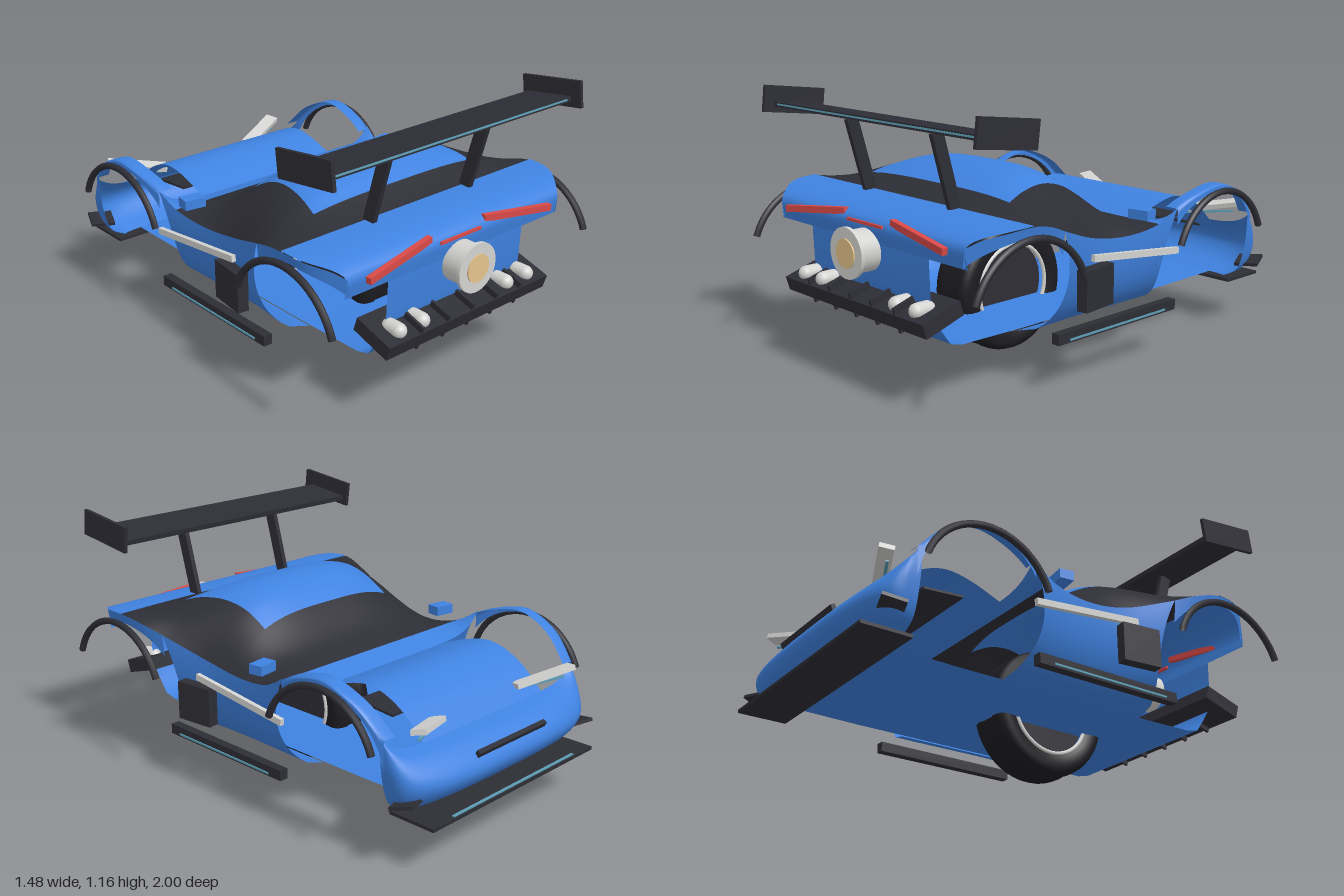
import * as THREE from 'three';

const mat = (name, color, side = THREE.FrontSide) => {
  const m = new THREE.MeshStandardMaterial({ color, side });
  m.name = name;
  return m;
};

// Smooth interpolation through [position, value] pairs
function curve(pts) {
  const slope = (i) => {
    const a = pts[Math.max(i - 1, 0)], b = pts[Math.min(i + 1, pts.length - 1)];
    return (b[1] - a[1]) / (b[0] - a[0]);
  };
  return (p) => {
    let i = 0;
    while (i < pts.length - 2 && p > pts[i + 1][0]) i++;
    const [x0, y0] = pts[i], [x1, y1] = pts[i + 1], h = x1 - x0;
    const t = THREE.MathUtils.clamp((p - x0) / h, 0, 1), t2 = t * t, t3 = t2 * t;
    return (2 * t3 - 3 * t2 + 1) * y0 + (t3 - 2 * t2 + t) * h * slope(i)
      + (3 * t2 - 2 * t3) * y1 + (t3 - t2) * h * slope(i + 1);
  };
}

// Main lines of the shell, all along z: shoulder height, half width, roof height, hood height
const shoulder = curve([[-0.85, 0.53], [-0.82, 0.556], [-0.72, 0.66], [-0.6, 0.722], [-0.52, 0.735], [-0.4, 0.71],
  [-0.31, 0.675], [-0.18, 0.6], [0, 0.575], [0.2, 0.6], [0.4, 0.665], [0.55, 0.72], [0.65, 0.74], [0.75, 0.735], [0.85, 0.71], [0.9, 0.68]]);
const halfWidth = curve([[-0.85, 0.6], [-0.75, 0.63], [-0.6, 0.65], [-0.4, 0.64], [-0.2, 0.605], [0, 0.585],
  [0.2, 0.59], [0.4, 0.64], [0.55, 0.69], [0.67, 0.71], [0.78, 0.69], [0.9, 0.6]]);
const roof = curve([[-0.18, 0.6], [-0.05, 0.66], [0.1, 0.785], [0.2, 0.845], [0.32, 0.865], [0.45, 0.835], [0.55, 0.785], [0.65, 0.745]]);
const hood = curve([[-0.84, 0.455], [-0.82, 0.476], [-0.72, 0.567], [-0.62, 0.62], [-0.53, 0.636], [-0.42, 0.615], [-0.29, 0.567]]);

const INNER = 0.385, ARCH_R = 0.3, ARCH_Y = 0.4, REAR_Z = 0.68, FRONT_Z = -0.52;
const chord = (d) => Math.sqrt(Math.max(ARCH_R * ARCH_R - d * d, 0));
const mix = THREE.MathUtils.lerp;

export function createModel() {
  const car = new THREE.Group();
  const D = THREE.DoubleSide;
  const blue = mat('body blue', 0x3f82e0, D), dark = mat('charcoal', 0x2d2d35, D);
  const rubber = mat('tyre black', 0x1c1c21), silver = mat('silver', 0xd3d3d1);
  const red = mat('tail red', 0xd94a48), amber = mat('lamp amber', 0xe6c48c), teal = mat('trim teal', 0x5c9db5);

  const add = (name, geo, m, pos = [0, 0, 0], rot = [0, 0, 0]) => {
    const mesh = new THREE.Mesh(geo, m);
    mesh.name = name;
    mesh.position.set(...pos);
    mesh.rotation.set(...rot);
    car.add(mesh);
    return mesh;
  };
  const box = (name, size, m, pos, rot) => add(name, new THREE.BoxGeometry(...size), m, pos, rot);

  // Curved sheet from a rule (u, v) -> [x, y, z]; pick() chooses the second material per cell
  function sheet(name, nu, nv, rule, pick, m = blue) {
    const pos = [], lists = [[], []];
    for (let j = 0; j <= nv; j++) for (let i = 0; i <= nu; i++) pos.push(...rule(i / nu, j / nv));
    for (let j = 0; j < nv; j++) for (let i = 0; i < nu; i++) {
      const a = j * (nu + 1) + i, b = a + nu + 1;
      lists[pick && pick((i + 0.5) / nu, (j + 0.5) / nv) ? 1 : 0].push(a, b, a + 1, a + 1, b, b + 1);
    }
    const geo = new THREE.BufferGeometry();
    geo.setAttribute('position', new THREE.Float32BufferAttribute(pos, 3));
    geo.setIndex([...lists[0], ...lists[1]]);
    geo.addGroup(0, lists[0].length, 0);
    geo.addGroup(lists[0].length, lists[1].length, 1);
    geo.computeVertexNormals();
    return add(name, geo, pick ? [m, dark] : m);
  }

  // Cabin: dark glass around a body coloured roof panel
  const cabinZ = (v) => mix(-0.18, 0.656, v);
  sheet('cabin', 40, 42, (u, v) => {
    const z = cabinZ(v), s = u * 2 - 1, y = shoulder(z);
    return [s * halfWidth(z), y + (roof(z) - y) * (1 - Math.abs(s) ** 3.4), z];
  }, (u, v) => {
    const z = cabinZ(v);
    return Math.abs(u * 2 - 1) > 0.65 || z < 0.08 || z > 0.53;
  });

  // Rear deck rolling over into the tail fascia
  const deckY = curve([[0, 0.745], [0.4, 0.737], [0.65, 0.715], [0.8, 0.68], [1, 0.6]]);
  const deckZ = curve([[0, 0.656], [0.4, 0.77], [0.65, 0.855], [0.8, 0.897], [1, 0.89]]);
  sheet('rearDeck', 24, 20, (u, v) => {
    const z = deckZ(v);
    return [(u * 2 - 1) * halfWidth(z), deckY(v), z];
  });

  // Narrow centre shell: tail panel and floor, then hood
  const tail = [[0.6, 0.89], [0.45, 0.885], [0.36, 0.87], [0.3, 0.83], [0.245, 0.79], [0.23, 0.73], [0.225, 0.4], [0.225, -0.5], [0.23, -0.83]];
  sheet('tailPanelAndFloor', 1, tail.length - 1, (u, v) => {
    const [y, z] = tail[Math.round(v * (tail.length - 1))];
    return [mix(-INNER, INNER, u), y, z];
  });
  sheet('hood', 4, 24, (u, v) => {
    const z = mix(-0.29, -0.84, v);
    return [mix(-INNER, INNER, u), hood(z), z];
  });
  sheet('cowl', 30, 6, (u, v) => {
    const z = mix(-0.18, -0.29, v), s = u * 2 - 1, c = mix(0.6, 0.567, v);
    return [s * halfWidth(z), c + (shoulder(z) - c) * Math.abs(s) ** 8, z];
  });

  // Nose wrapping round between the front arches
  const noseY = curve([[0, 0.48], [0.2, 0.455], [0.5, 0.39], [0.65, 0.34], [0.82, 0.275], [1, 0.23]]);
  const noseD = curve([[0, 0.03], [0.2, 0.1], [0.5, 0.17], [0.65, 0.18], [0.82, 0.13], [1, 0.03]]);
  const noseW = curve([[0, 0.61], [0.5, 0.6], [0.82, 0.56], [1, 0.48]]);
  sheet('nose', 40, 20, (u, v) => {
    const t = (u * 2 - 1) * Math.PI / 2, s = Math.sin(t), e = Math.abs(s);
    return [Math.sign(s) * noseW(v) * e ** 0.7, noseY(v) + 0.07 * (1 - v) ** 2 * e ** 6,
      -0.8 - noseD(v) * Math.max(Math.cos(t), 0) ** 0.5];
  });

  for (const k of [1, -1]) {
    // Side panel between the wheel arches, tucking under to the floor
    sheet('sidePanel', 20, 18, (u, v) => {
      const y0 = mix(0.22, 0.58, v), c = chord(y0 - ARCH_Y);
      const z = mix(REAR_Z - c, FRONT_Z + c, u);
      const bulge = (1 - (1 - v) ** 2.4) ** 0.5;
      return [k * mix(INNER, halfWidth(z), bulge), mix(0.22, shoulder(z), v), z];
    });
    sheet('rearFender', 24, 4, (u, v) => {
      const z = mix(0.44, 0.9, u);
      return [k * (halfWidth(z) - 0.01 * v), mix(shoulder(z), ARCH_Y + chord(z - REAR_Z), v), z];
    });
    sheet('frontFender', 28, 6, (u, v) => {
      const z = mix(-0.28, -0.819, u), top = shoulder(z), w = halfWidth(z), a = Math.min(v * 2, 1), b = Math.max(v * 2 - 1, 0);
      return [k * (w - 0.065 * (1 - a) ** 1.3), mix(top - 0.006 * (1 - a) - 0.008 * a * a, ARCH_Y + chord(z - FRONT_Z), b), z];
    });

    // Arch flares
    for (const [name, x, z] of [['rearArchFlare', 0.725, REAR_Z], ['frontArchFlare', 0.665, FRONT_Z - 0.01]]) {
      const arc = new THREE.TorusGeometry(0.295, 0.015, 8, 32, Math.PI * 0.78);
      arc.rotateZ(Math.PI * 0.11).rotateY(Math.PI / 2);
      add(name, arc, dark, [k * x, 0.405, z]);
    }

    // Side trim
    box('sideSkirt', [0.04, 0.045, 0.71], dark, [k * 0.605, 0.235, 0.085]);
    box('skirtStripe', [0.006, 0.008, 0.58], teal, [k * 0.627, 0.225, 0.09]);
    box('sideIntake', [0.05, 0.17, 0.18], dark, [k * 0.63, 0.415, 0.24], [0, k * 0.12, 0]);
    box('sideBar', [0.02, 0.028, 0.53], silver, [k * 0.62, 0.502, -0.018], [-0.11, 0, 0]);
    box('mirror', [0.095, 0.042, 0.065], blue, [k * 0.565, 0.65, -0.11], [0, k * 0.15, 0]);

    // Nose details
    box('headlight', [0.28, 0.022, 0.062], silver, [k * 0.375, 0.55, -0.835], [0.2, k * 0.44, k * 0.1]);
    box('headlightStrip', [0.22, 0.008, 0.012], teal, [k * 0.375, 0.52, -0.825], [0, k * 0.44, k * 0.1]);
    box('canard', [0.11, 0.014, 0.1], dark, [k * 0.56, 0.305, -0.89], [0.25, k * 0.35, 0]);

    // Tail lights and rear lamps
    box('tailLight', [0.37, 0.028, 0.025], red, [k * 0.335, 0.68, 0.9], [0, -k * 0.12, -k * 0.11]);
    for (const x of [0.245, 0.37]) {
      const bulb = new THREE.CapsuleGeometry(0.032, 0.05, 6, 14);
      add('rearLamp', bulb.rotateX(Math.PI / 2), silver, [k * x, 0.407, 0.915]);
    }

    // Wing supports
    box('wingStrut', [0.022, 0.38, 0.055], dark, [k * 0.275, 0.87, 0.705], [0.27, 0, 0]);
    box('wingEndPlate', [0.016, 0.115, 0.3], dark, [k * 0.685, 1.092, 0.765], [-0.124, 0, 0]);
  }

  // Wing blade
  box('wingBlade', [1.37, 0.022, 0.225], dark, [0, 1.068, 0.755], [-0.13, 0, 0]);
  box('wingStripe', [1.3, 0.007, 0.006], teal, [0, 1.084, 0.868], [-0.13, 0, 0]);

  // Splitter and vents
  box('splitter', [1.06, 0.014, 0.22], dark, [0, 0.22, -0.89]);
  box('splitterStripe', [0.8, 0.006, 0.012], teal, [0, 0.229, -0.987]);
  box('noseSlot', [0.44, 0.025, 0.02], dark, [0, 0.418, -0.955], [-0.5, 0, 0]);
  box('underHoodTray', [0.74, 0.01, 0.19], dark, [0, 0.54, -0.553], [-0.08, 0, 0]);

  // Rear diffuser with fins
  box('diffuser', [0.92, 0.062, 0.19], dark, [0, 0.38, 0.885], [0.3, 0, 0]);
  for (const x of [-0.285, -0.14, 0, 0.14, 0.285]) box('diffuserFin', [0.012, 0.11, 0.1], dark, [x, 0.37, 0.925], [0.3, 0, 0]);

  // Centre lamp
  box('centreBrakeLight', [0.23, 0.012, 0.02], red, [0, 0.677, 0.895]);
  const disc = (name, r, depth, m, z) =>
    add(name, new THREE.CylinderGeometry(r, r, depth, 40).rotateX(Math.PI / 2), m, [0, 0.57, z]);
  disc('lampHousing', 0.088, 0.165, silver, 0.9);
  disc('lampRim', 0.105, 0.016, silver, 0.986);
  disc('lampLens', 0.06, 0.007, amber, 0.9965);

  // Wheel under the cabin
  const profile = [[0.19, -0.085], [0.21, -0.1], [0.25, -0.105], [0.275, -0.095], [0.285, -0.07], [0.287, -0.042], [0.28, -0.036],
    [0.28, 0.036], [0.287, 0.042], [0.285, 0.07], [0.275, 0.095], [0.25, 0.105], [0.21, 0.1], [0.19, 0.085]];
  const tyre = new THREE.LatheGeometry(profile.map(([r, h]) => new THREE.Vector2(r, h)), 48);
  add('tyre', tyre.rotateZ(Math.PI / 2), rubber, [0, 0.293, 0.19]);
  add('wheelDisc', new THREE.CylinderGeometry(0.192, 0.192, 0.12, 40).rotateZ(Math.PI / 2), dark, [0, 0.293, 0.19]);
  for (const k of [1, -1]) {
    add('wheelRim', new THREE.TorusGeometry(0.192, 0.009, 8, 48).rotateY(Math.PI / 2), silver, [k * 0.092, 0.293, 0.19]);
  }
  return car;
}
